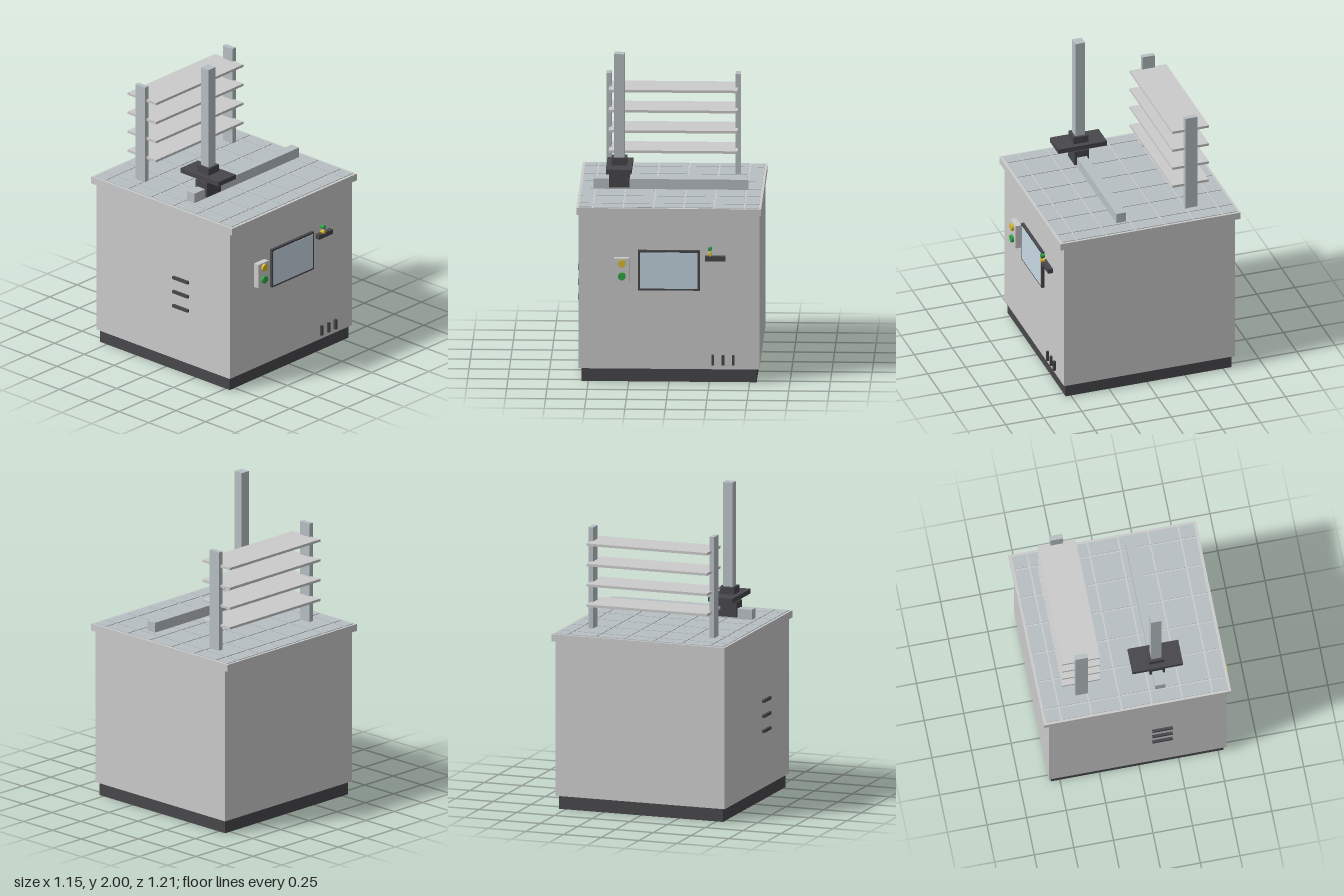
import * as THREE from 'three';

const material = (color) => new THREE.MeshStandardMaterial({ color });

export function createModel() {
  const model = new THREE.Group();
  const grey = material(0xcccccc);
  const steel = material(0xb8c0c4);
  const dark = material(0x48484c);
  const glass = material(0xc8d8e4);
  const yellow = material(0xd8bc38);
  const green = material(0x30a848);

  const add = (name, geometry, mat, x, y, z, parent = model) => {
    const mesh = new THREE.Mesh(geometry, mat);
    mesh.name = name;
    mesh.position.set(x, y, z);
    parent.add(mesh);
    return mesh;
  };
  // Box given by its low and high limits on each axis
  const box = (name, mat, [x0, x1], [y0, y1], [z0, z1], parent) =>
    add(name, new THREE.BoxGeometry(x1 - x0, y1 - y0, z1 - z0), mat,
      (x0 + x1) / 2, (y0 + y1) / 2, (z0 + z1) / 2, parent);
  // Round button facing the front
  const button = (name, mat, r, x, y, z0, z1) =>
    add(name, new THREE.CylinderGeometry(r, r, z1 - z0, 24).rotateX(Math.PI / 2),
      mat, x, y, (z0 + z1) / 2);
  const group = (name) => {
    const g = new THREE.Group();
    g.name = name;
    model.add(g);
    return g;
  };

  // Cabinet
  box('plinth', dark, [-0.544, 0.544], [0, 0.085], [-0.556, 0.534]);
  box('cabinet', grey, [-0.561, 0.561], [0.085, 1.07], [-0.573, 0.55]);
  box('worktop', grey, [-0.573, 0.573], [1.07, 1.115], [-0.605, 0.578]);

  // Tiled surface: full tiles in the middle, half tiles round the edge
  const tiles = group('worktopTiles');
  const cuts = (low, first, pitch, high) =>
    [low, ...Array.from({ length: 6 }, (_, i) => first + i * pitch), high];
  const xs = cuts(-0.562, -0.473, 0.188, 0.562);
  const zs = cuts(-0.594, -0.493, 0.191, 0.564);
  const gap = 0.005;
  for (let i = 0; i < xs.length - 1; i++) {
    for (let j = 0; j < zs.length - 1; j++) {
      box('tile', steel, [xs[i] + gap, xs[i + 1] - gap], [1.11, 1.119],
        [zs[j] + gap, zs[j + 1] - gap], tiles);
    }
  }

  // Shelf rack
  const rack = group('shelfRack');
  for (const side of [-1, 1]) {
    const x = side * 0.401;
    box('rackPost', steel, [x - 0.016, x + 0.016], [1.115, 1.76], [-0.377, -0.297], rack);
  }
  for (let i = 0; i < 4; i++) {
    const y = 1.279 + i * 0.129;
    box('shelf', grey, [-0.4, 0.4], [y - 0.008, y + 0.008], [-0.457, -0.217], rack);
  }

  // Sliding column on its rail
  const slide = group('slidingColumn');
  box('rail', steel, [-0.48, 0.48], [1.14, 1.204], [0.115, 0.179], slide);
  box('carriage', dark, [-0.384, -0.256], [1.152, 1.248], [0.099, 0.195], slide);
  box('collar', dark, [-0.368, -0.272], [1.2, 1.34], [0.099, 0.195], slide);
  box('platform', dark, [-0.4, -0.24], [1.264, 1.294], [-0.013, 0.307], slide);
  box('column', steel, [-0.352, -0.288], [1.2, 2], [0.115, 0.179], slide);

  // Screen
  box('screenFrame', dark, [-0.192, 0.192], [0.59, 0.845], [0.545, 0.568]);
  box('screen', glass, [-0.179, 0.179], [0.602, 0.832], [0.56, 0.571]);

  // Button box
  box('buttonBox', grey, [-0.339, -0.243], [0.638, 0.797], [0.545, 0.588]);
  button('yellowButton', yellow, 0.024, -0.291, 0.767, 0.58, 0.604);
  button('greenButton', green, 0.024, -0.291, 0.685, 0.58, 0.604);

  // Handle with indicator lights
  box('handle', dark, [0.224, 0.351], [0.782, 0.812], [0.545, 0.582]);
  button('greenLight', green, 0.012, 0.256, 0.862, 0.572, 0.598);
  button('yellowLight', yellow, 0.012, 0.256, 0.828, 0.572, 0.598);

  // Vents on the front and on the right side
  for (let i = 0; i < 3; i++) {
    const x = 0.272 + i * 0.064;
    box('frontVent', dark, [x - 0.008, x + 0.008], [0.113, 0.178], [0.545, 0.566]);
    const y = 0.446 + i * 0.0955;
    box('sideVent', dark, [-0.577, -0.555], [y - 0.009, y + 0.009], [0.08, 0.208]);
  }

  return model;
}
